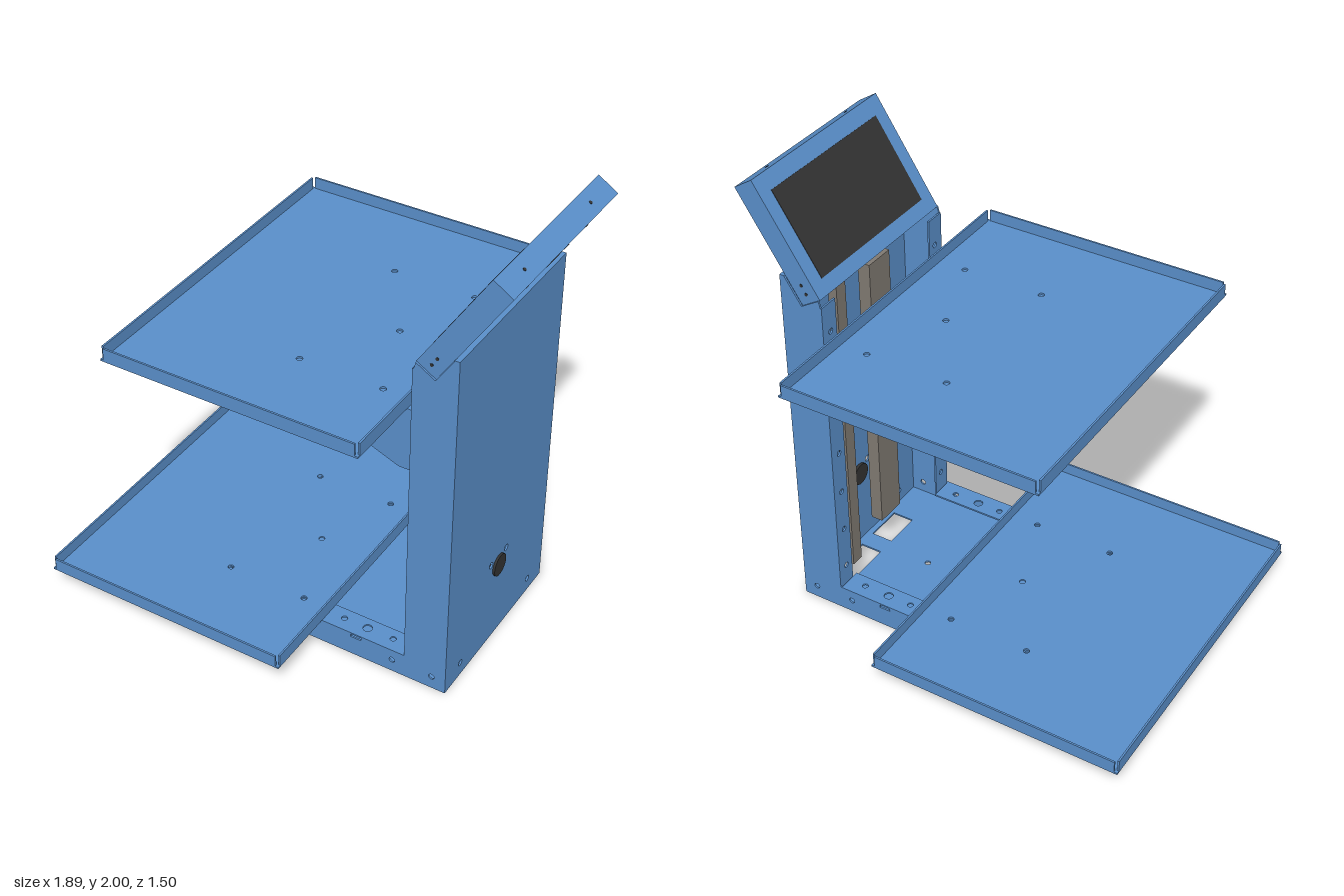
import * as THREE from 'three';

const mat = (color) => new THREE.MeshStandardMaterial({ color });
const blue = mat(0x5a8fca), black = mat(0x333333), steel = mat(0x807a72);
const T = 0.008; // sheet thickness

function add(parent, name, geo, material = blue) {
  const m = new THREE.Mesh(geo, material);
  m.name = name;
  parent.add(m);
  return m;
}

function box(parent, name, x0, x1, y0, y1, z0, z1, material) {
  const g = new THREE.BoxGeometry(x1 - x0, y1 - y0, z1 - z0);
  g.translate((x0 + x1) / 2, (y0 + y1) / 2, (z0 + z1) / 2);
  return add(parent, name, g, material);
}

const rect = (a0, a1, b0, b1) => [[a0, b0], [a1, b0], [a1, b1], [a0, b1]];

// Sheet plate with round holes [a, b, r] or rectangular holes [a, b, w, h].
// axis z: outline is (x, y); axis y: (x, z); axis x: (z, y). "at" is the plate's low side.
function plate(parent, name, axis, at, pts, holes = []) {
  const s = new THREE.Shape(pts.map((p) => new THREE.Vector2(...p)));
  for (const [a, b, w, h] of holes) {
    const p = new THREE.Path();
    if (h === undefined) p.absarc(a, b, w, 0, Math.PI * 2, true);
    else p.setFromPoints(rect(a - w / 2, a + w / 2, b - h / 2, b + h / 2).reverse().map((q) => new THREE.Vector2(...q)));
    s.holes.push(p);
  }
  const g = new THREE.ExtrudeGeometry(s, { depth: T, bevelEnabled: false, curveSegments: 8 });
  if (axis === 'z') g.translate(0, 0, at);
  if (axis === 'y') g.rotateX(Math.PI / 2).translate(0, at + T, 0);
  if (axis === 'x') g.rotateY(-Math.PI / 2).translate(at + T, 0, 0);
  return add(parent, name, g);
}

// Open tray with four rims, slit at the corners
function tray(name, x0, y0) {
  const g = new THREE.Group();
  g.name = name;
  const x1 = x0 + 1.13, h = 0.06, c = 0.014;
  const holes = [[x0 + 0.865, 0, 0.013]];
  for (const dx of [0.635, 1.0]) for (const z of [-0.355, 0.355]) holes.push([x0 + dx, z, 0.013]);
  plate(g, 'trayFloor', 'y', y0, rect(x0, x1, -0.75, 0.75), holes);
  for (const z of [-0.75, 0.75 - T]) box(g, 'sideRim', x0 + c, x1 - c, y0, y0 + h, z, z + T);
  for (const x of [x0, x1 - T]) box(g, 'endRim', x, x + T, y0, y0 + h, -0.75 + c, 0.75 - c);
  return g;
}

function base() {
  const g = new THREE.Group();
  g.name = 'base';
  plate(g, 'baseFloor', 'y', 0, rect(-0.77, 0.75, -0.415, 0.415),
    [[0.67, -0.145, 0.1, 0.2], [0.67, 0.125, 0.1, 0.17], [0.4, 0, 0.013]]);
  box(g, 'baseEnd', -0.77, -0.77 + T, 0, 0.1, -0.41, 0.41);
  for (const s of [-1, 1]) {
    const z = s > 0 ? 0.412 : -0.42;
    plate(g, 'baseSide', 'z', z, rect(-0.77, 0.57, 0, 0.112),
      [[-0.735, 0.098, 0.05, 0.014], [0.34, 0.098, 0.05, 0.014], [0.51, 0.06, 0.013]]);
    plate(g, 'baseTopFlange', 'y', 0.104, rect(-0.7, 0.56, s > 0 ? 0.31 : -0.415, s > 0 ? 0.415 : -0.31),
      [[-0.32, s * 0.355, 0.013], [0.05, s * 0.355, 0.013], [0.25, s * 0.36, 0.013],
        [0.36, s * 0.36, 0.02], [0.48, s * 0.36, 0.013]]);
  }
  return g;
}

function column() {
  const g = new THREE.Group();
  g.name = 'column';
  plate(g, 'backPanel', 'x', 0.755 - T, rect(-0.42, 0.42, 0, 1.625),
    [[-0.295, 0.065, 0.014], [0.295, 0.065, 0.014], [-0.065, 0.41, 0.015], [0.065, 0.41, 0.015]]);
  box(g, 'topLip', 0.732, 0.755, 1.617, 1.625, -0.42, 0.42);
  const side = [[0.57, 0], [0.75, 0], [0.75, 1.625], [0.735, 1.625], [0.66, 1.51], [0.578, 1.56], [0.57, 1.53]];
  for (const s of [-1, 1]) {
    plate(g, 'sidePanel', 'z', s > 0 ? 0.412 : -0.42, side, [[0.692, 0.06, 0.013]]);
    // Front flange with a row of holes
    const holes = Array.from({ length: 7 }, (_, i) => [s * 0.37, 0.2 + i * 0.2, 0.013]);
    plate(g, 'frontFlange', 'x', 0.565, rect(s > 0 ? 0.33 : -0.42, s > 0 ? 0.42 : -0.33, 0.1, 1.53), holes);
  }
  // Lift mechanism inside
  box(g, 'liftRail', 0.585, 0.64, 0.22, 1.53, -0.07, 0.07, steel);
  box(g, 'guideRail', 0.61, 0.65, 0.1, 1.53, -0.26, -0.2, steel);
  // Cable grommet in the back panel
  const grommet = new THREE.CylinderGeometry(0.05, 0.05, 0.03, 24);
  grommet.rotateZ(Math.PI / 2).translate(0.75, 0.37, 0);
  add(g, 'cableGrommet', grommet, black);
  return g;
}

// Gusset carrying the upper tray, open underneath
function bracket() {
  const g = new THREE.Group();
  g.name = 'bracket';
  const outline = [[-0.02, 1.33], [-0.02, 1.265], [0.51, 1.05], [0.562, 1.05], [0.562, 1.33]];
  for (const z of [-0.405, 0.405 - T]) plate(g, 'bracketSide', 'z', z, outline);
  box(g, 'bracketTop', -0.02, 0.562, 1.322, 1.33, -0.4, 0.4);
  box(g, 'bracketLip', -0.02, -0.012, 1.265, 1.33, -0.4, 0.4);
  box(g, 'bracketBack', 0.552, 0.562, 1.05, 1.33, -0.4, 0.4);
  return g;
}

// Tilted display housing: local x runs through its thickness, local y up its slope
function display() {
  const g = new THREE.Group();
  g.name = 'display';
  g.position.set(0.575, 1.56, 0);
  g.rotation.z = -0.574;
  const D = 0.098, L = 0.524;
  box(g, 'housing', 0, D, 0, L, -0.412, 0.412);
  box(g, 'screen', -0.002, 0.01, 0.064, 0.451, -0.347, 0.347, black);
  const dot = (name, axis, x, y, z, r) => {
    const c = new THREE.CylinderGeometry(r, r, 0.004, 12);
    if (axis === 'x') c.rotateZ(Math.PI / 2);
    if (axis === 'z') c.rotateX(Math.PI / 2);
    add(g, name, c.translate(x, y, z), black);
  };
  for (const z of [-0.04, 0, 0.04]) dot('port', 'x', D, 0.432, z, 0.014);
  for (const s of [-1, 1]) {
    dot('port', 'x', D, 0.478, s * 0.04, 0.014);
    dot('rearScrewHole', 'x', D, 0.455, s * 0.235, 0.007);
    dot('topScrewHole', 'y', 0.05, L, s * 0.26, 0.007);
    dot('sideScrewHole', 'z', 0.05, 0.04, s * 0.412, 0.007);
    dot('sideScrewHole', 'z', 0.05, 0.08, s * 0.412, 0.007);
  }
  return g;
}

export function createModel() {
  const model = new THREE.Group();
  model.name = 'trayStand';
  model.add(base(), column(), bracket(), display(), tray('lowerTray', -0.95, 0.115), tray('upperTray', -0.59, 1.33));
  return model;
}
